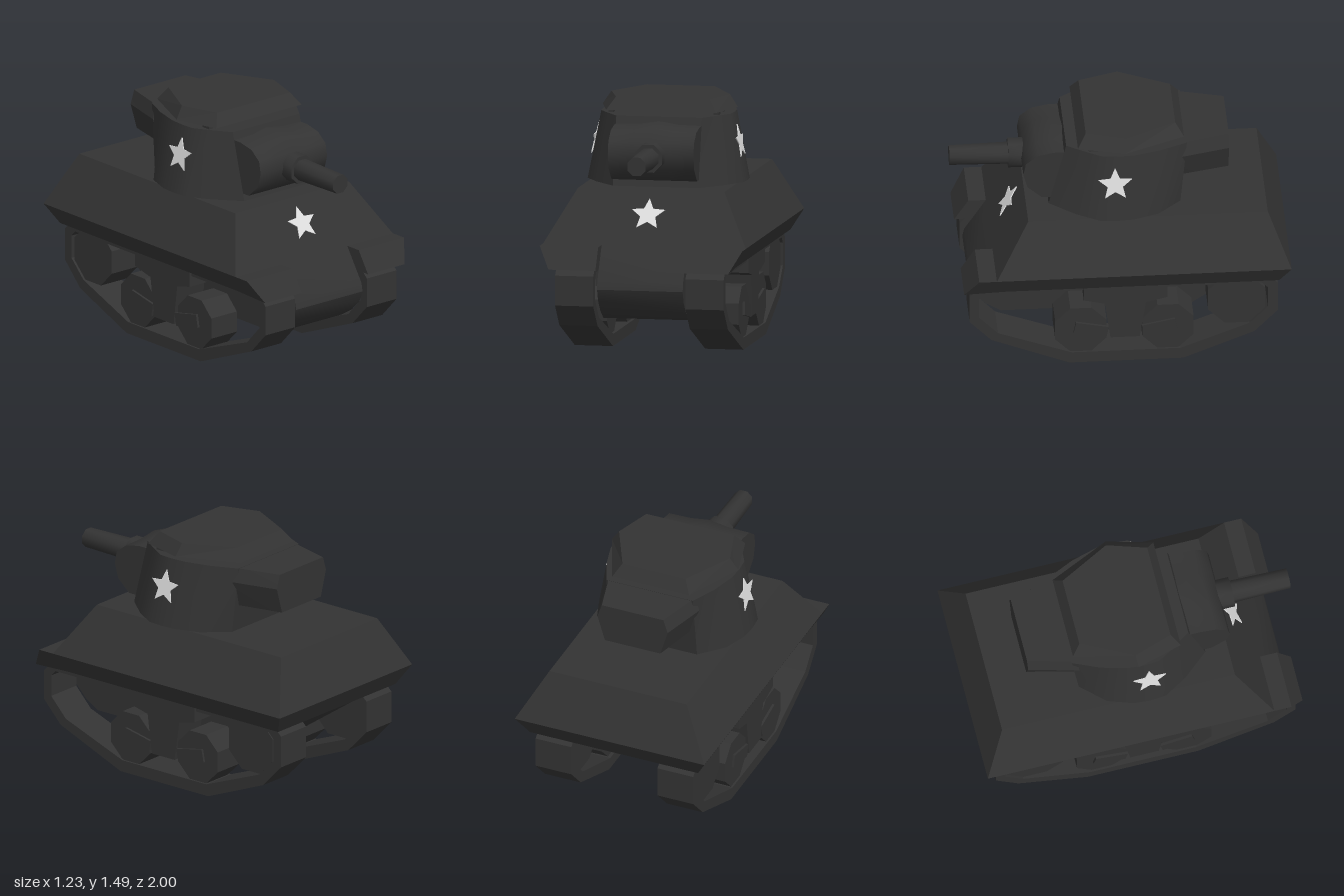
import * as THREE from 'three';
import { toCreasedNormals } from 'three/addons/utils/BufferGeometryUtils.js';

// Skin through equal-length rings of [x,y,z]; ends are capped, or joined when closed.
function loft(rings, { closed = false, crease = 0.1 } = {}) {
  const tris = [];
  const n = rings[0].length;
  const last = closed ? rings.length : rings.length - 1;
  for (let r = 0; r < last; r++) {
    const a = rings[r], b = rings[(r + 1) % rings.length];
    for (let i = 0; i < n; i++) {
      const j = (i + 1) % n;
      tris.push([a[i], a[j], b[j]], [a[i], b[j], b[i]]);
    }
  }
  if (!closed) {
    const a = rings[0], b = rings[rings.length - 1];
    for (let i = 1; i < n - 1; i++) tris.push([a[0], a[i + 1], a[i]], [b[0], b[i], b[i + 1]]);
  }
  // Turn the corners outward if the enclosed volume comes out negative
  const v = (p) => new THREE.Vector3(...p);
  const c = v(rings[0][0]);
  let volume = 0;
  for (const [p, q, s] of tris) volume += v(p).sub(c).dot(v(q).sub(c).cross(v(s).sub(c)));
  if (volume < 0) tris.forEach((t) => t.reverse());
  const g = new THREE.BufferGeometry();
  g.setAttribute('position', new THREE.Float32BufferAttribute(tris.flat(2), 3));
  return toCreasedNormals(g, crease);
}

// Right half of an outline [x,z], front to back, mirrored into a level ring
const level = (y, half) => [
  ...half.map(([x, z]) => [x, y, z]),
  ...[...half].reverse().map(([x, z]) => [-x, y, z]),
];
// Side profile [z,y] placed at x
const atX = (x, profile) => profile.map(([z, y]) => [x, y, z]);

export function createModel() {
  const paint = new THREE.MeshStandardMaterial({ color: 0x333333 });
  paint.name = 'dark armour';
  const white = new THREE.MeshStandardMaterial({ color: 0xdedede });
  white.name = 'star white';

  const model = new THREE.Group();
  model.name = 'tank';
  const add = (name, geometry, material = paint, parent = model) => {
    const m = new THREE.Mesh(geometry, material);
    m.name = name;
    parent.add(m);
    return m;
  };

  // Hull: sloped upper body, undercut skirt, rounded lower hull
  add('upperHull', loft([
    level(0.67, [[0.615, 0.76], [0.615, -1]]),
    level(0.98, [[0.445, 0.56], [0.445, -0.87]]),
  ]));
  add('skirt', loft([
    level(0.55, [[0.545, 0.78], [0.545, -0.93]]),
    level(0.67, [[0.615, 0.76], [0.615, -1]]),
  ]));
  const lower = [[0.76, 0.67], [0.89, 0.47], [0.9, 0.42], [0.87, 0.35], [0.8, 0.28],
    [0.71, 0.225], [-0.43, 0.225], [-0.93, 0.56], [-0.93, 0.62]];
  add('lowerHull', loft([atX(-0.26, lower), atX(0.26, lower)], { crease: 0.56 }));
  add('hullFloor', new THREE.BoxGeometry(0.6, 0.14, 1.4)).position.set(0, 0.49, 0.05);

  // Running gear, one group per side
  const outer = [[0.855, 0.56], [0.915, 0.5], [0.915, 0.32], [0.785, 0.185], [0.32, 0],
    [-0.36, 0], [-0.785, 0.17], [-0.925, 0.315], [-0.925, 0.51], [-0.87, 0.56]];
  const inner = [[0.825, 0.515], [0.858, 0.48], [0.858, 0.35], [0.745, 0.232], [0.305, 0.072],
    [-0.345, 0.072], [-0.755, 0.23], [-0.865, 0.34], [-0.865, 0.48], [-0.83, 0.515]];
  const wheel = (r, w) =>
    new THREE.CylinderGeometry(r, r, w, 8, 1, false, Math.PI / 8).rotateZ(Math.PI / 2).toNonIndexed();
  for (const s of [1, -1]) {
    const side = new THREE.Group();
    side.name = s > 0 ? 'leftRunningGear' : 'rightRunningGear';
    model.add(side);
    const slab = (name, x0, x1, profile) =>
      add(name, loft([atX(s * x0, profile), atX(s * x1, profile)]), paint, side);

    add('track', loft([
      atX(s * 0.28, outer), atX(s * 0.512, outer), atX(s * 0.512, inner), atX(s * 0.28, inner),
    ], { closed: true }), paint, side);

    for (const z of [0.25, -0.27]) {
      add('roadWheel', toCreasedNormals(wheel(0.166, 0.2), 0.1), paint, side)
        .position.set(s * 0.4, 0.225, z);
      const arm = add('suspensionArm', new THREE.BoxGeometry(0.04, 0.08, 0.2), paint, side);
      arm.position.set(s * 0.495, 0.225, z > 0 ? 0.19 : -0.22);
      arm.rotation.x = z > 0 ? -0.2 : 0.2;
    }
    add('idlerWheel', toCreasedNormals(wheel(0.184, 0.2), 0.1), paint, side)
      .position.set(s * 0.4, 0.4, -0.68);

    slab('bracketTop', 0.3, 0.525, [[0.235, 0.56], [0.235, 0.45], [0.11, 0.42], [-0.14, 0.42],
      [-0.265, 0.45], [-0.265, 0.56]]);
    slab('bracketPost', 0.3, 0.515, [[0.11, 0.43], [0.075, 0.17], [-0.1, 0.17], [-0.14, 0.43]]);

    // Front mudguard with its nose sloping down and outer corner tucked in
    add('mudguard', loft([
      [[0.26, 0.54, 0.95], [0.545, 0.54, 0.95], [0.545, 0.55, 0.7], [0.26, 0.55, 0.7]],
      [[0.26, 0.67, 0.865], [0.615, 0.67, 0.865], [0.615, 0.67, 0.7], [0.26, 0.67, 0.7]],
    ].map((ring) => ring.map(([x, y, z]) => [s * x, y, z]))), paint, side);
  }

  // Turret with rounded flanks, rear bustle and raised roof
  add('turret', loft([
    level(0.98, [[0.26, 0.425], [0.39, 0.27], [0.472, 0.13], [0.48, 0.03], [0.472, -0.07],
      [0.42, -0.22], [0.29, -0.36]]),
    level(1.387, [[0.26, 0.32], [0.34, 0.2], [0.393, 0.11], [0.4, 0.02], [0.393, -0.08],
      [0.35, -0.24], [0.28, -0.4]]),
  ], { crease: 0.6 }));
  const bustle = (z, a, b, c) => [[a, 1.385, z], [b, 1.3, z], [c, 1.14, z],
    [-c, 1.14, z], [-b, 1.3, z], [-a, 1.385, z]];
  add('bustle', loft([bustle(-0.36, 0.28, 0.305, 0.25), bustle(-0.655, 0.2, 0.228, 0.18)]));
  add('roof', loft([
    level(1.41, [[0.335, 0.255], [0.41, -0.02], [0.25, -0.385]]),
    level(1.485, [[0.285, 0.205], [0.36, -0.03], [0.205, -0.335]]),
  ]));
  for (const x of [-0.32, 0.32]) {
    for (const z of [0.16, 0.01]) {
      add('roofPost', new THREE.BoxGeometry(0.03, 0.06, 0.06)).position.set(x, 1.4, z);
    }
  }

  // Gun: curved shield with a slightly arched top, collar and tapered barrel
  const shield = (lift) => [[0.3, 1.025], [0.465, 1.025], [0.55, 1.1], [0.575, 1.19],
    [0.56, 1.265], [0.49, 1.32 + lift], [0.39, 1.34 + lift], [0.3, 1.34 + lift]];
  add('gunShield', loft([[-0.26, 0], [-0.12, 0.003], [0, 0.022], [0.12, 0.003], [0.26, 0]]
    .map(([x, lift]) => atX(x, shield(lift))), { crease: 0.75 }));
  const tube = (r0, r1, z0, z1) => toCreasedNormals(
    new THREE.CylinderGeometry(r1, r0, z1 - z0, 8, 1, false, Math.PI / 8)
      .rotateX(Math.PI / 2).translate(0, 1.18, (z0 + z1) / 2), 0.9);
  add('gunCollar', tube(0.09, 0.09, 0.5, 0.65));
  add('gunBarrel', tube(0.068, 0.06, 0.6, 1));

  // Painted stars
  const points = [];
  for (let i = 0; i < 10; i++) {
    const r = i % 2 ? 0.048 : 0.106, a = Math.PI / 2 + (i * Math.PI) / 5;
    points.push(new THREE.Vector2(r * Math.cos(a), r * Math.sin(a)));
  }
  const star = new THREE.ExtrudeGeometry(new THREE.Shape(points), { depth: 0.006, bevelEnabled: false });
  const frontStar = add('frontStar', star, white);
  frontStar.position.set(0, 0.843, 0.65);
  frontStar.rotation.x = -Math.atan2(0.2, 0.31);
  for (const s of [1, -1]) {
    const m = add(s > 0 ? 'leftStar' : 'rightStar', star, white);
    m.position.set(s * 0.4345, 1.212, 0.04);
    m.rotation.set(-0.195, s * Math.PI / 2, 0, 'YXZ');
  }
  return model;
}
